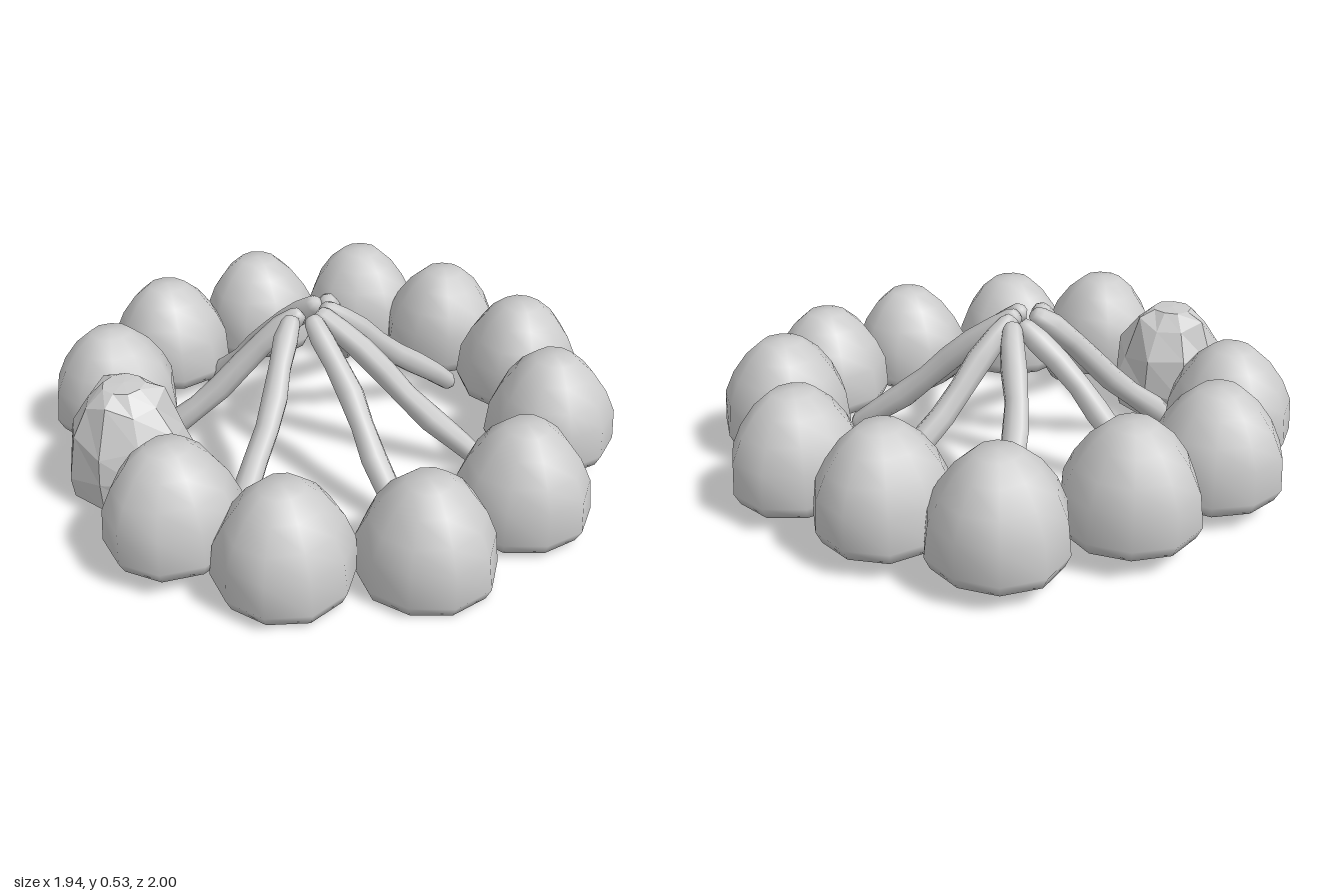
import * as THREE from 'three';
import { mergeVertices } from 'three/addons/utils/BufferGeometryUtils.js';

const ROCK_PROFILE = [[0, 0], [0.205, 0], [0.224, 0.04], [0.214, 0.15], [0.18, 0.225], [0.13, 0.295], [0.072, 0.345], [0, 0.352]];
const ROUGH_PROFILE = [[0, 0], [0.202, 0], [0.212, 0.09], [0.19, 0.21], [0.13, 0.325], [0.07, 0.37], [0, 0.375]];

// Lathe with welded seam so smooth normals run all the way round
function lathe(profile, sides, shift) {
  const raw = new THREE.LatheGeometry(profile.map(([r, y]) => new THREE.Vector2(r, y)), sides);
  raw.deleteAttribute('uv');
  raw.deleteAttribute('normal');
  const geo = mergeVertices(raw, 1e-4);
  const p = geo.attributes.position;
  const v = new THREE.Vector3();
  for (let i = 0; i < p.count; i++) {
    shift(v.fromBufferAttribute(p, i));
    p.setXYZ(i, v.x, v.y, v.z);
  }
  geo.computeVertexNormals();
  return geo;
}

// Domed stone, slightly uneven around its outline
function rockGeometry() {
  return lathe(ROCK_PROFILE, 10, v => {
    const k = 1 + 0.02 * Math.sin(3 * Math.atan2(v.x, v.z) + 8 * v.y);
    v.x *= k;
    v.z *= k;
    if (v.y > 0.2) v.y += 0.03 * v.x;
  });
}

// Rough stone with broad facets and a flat underside
function facetedRockGeometry() {
  return lathe(ROUGH_PROFILE, 9, v => {
    const a = Math.atan2(v.x, v.z);
    const k = 1 + 0.035 * Math.sin(4 * a + 23 * v.y);
    v.x *= k;
    v.z *= k;
    if (v.y > 0.01 && v.y < 0.35) v.y += 0.02 * Math.sin(3 * a + 31 * v.y);
  });
}

// Slightly crooked stick running from one point to another
function stick(from, to, bend, material) {
  const axis = new THREE.Vector3().subVectors(to, from);
  const len = axis.length();
  const profile = [[0, 0], [0.024, 0.004], [0.035, 0.025]];
  for (const t of [0.15, 0.3, 0.45, 0.6, 0.75, 0.88]) {
    profile.push([0.043 + 0.003 * Math.sin(t * 17 + bend), t * len]);
  }
  profile.push([0.035, len - 0.025], [0.024, len - 0.004], [0, len]);
  const geo = lathe(profile, 8, v => {
    const t = v.y / len;
    v.x += 0.012 * Math.sin(t * Math.PI * 2 + bend) * Math.sin(t * Math.PI);
    v.z += 0.01 * Math.cos(t * Math.PI * 1.5 + bend) * Math.sin(t * Math.PI);
  });
  const mesh = new THREE.Mesh(geo, material);
  mesh.position.copy(from);
  mesh.quaternion.setFromUnitVectors(new THREE.Vector3(0, 1, 0), axis.normalize());
  return mesh;
}

export function createModel() {
  const group = new THREE.Group();
  group.name = 'campfire';
  const smooth = new THREE.MeshStandardMaterial({ color: 0xcccccc });
  const faceted = new THREE.MeshStandardMaterial({ color: 0xcccccc, flatShading: true });

  // Ring of stones: x, base height, z
  const ring = new THREE.Group();
  ring.name = 'stoneRing';
  const rockGeo = rockGeometry();
  const rocks = [
    [-0.46, 0.06, -0.68], [-0.07, 0.07, -0.775], [0.355, 0.06, -0.73], [0.59, 0.06, -0.43],
    [0.74, 0.055, -0.07], [0.645, 0.06, 0.34], [0.38, 0.02, 0.64], [-0.015, 0, 0.773],
    [-0.435, 0.015, 0.67], [-0.71, 0.055, 0.41], [-0.73, 0.045, -0.4],
  ];
  rocks.forEach(([x, y, z], i) => {
    const rock = new THREE.Mesh(rockGeo, smooth);
    rock.name = 'stone' + (i + 1);
    rock.position.set(x, y, z);
    rock.rotation.y = Math.atan2(x, z);
    ring.add(rock);
  });
  const rough = new THREE.Mesh(facetedRockGeometry(), faceted);
  rough.name = 'facetedStone';
  rough.position.set(-0.76, 0.03, 0);
  ring.add(rough);
  group.add(ring);

  // Sticks leaning together: top x, z and foot x, z
  const sticks = new THREE.Group();
  sticks.name = 'firewood';
  const leaning = [
    [-0.04, -0.13, -0.34, -0.57], [-0.01, -0.13, 0.23, -0.58], [-0.04, -0.08, 0.53, -0.2],
    [-0.07, -0.06, 0.4, 0.33], [-0.1, -0.03, 0.01, 0.555], [-0.16, -0.05, -0.5, 0.38],
    [-0.12, -0.07, -0.65, -0.2],
  ];
  leaning.forEach(([tx, tz, fx, fz], i) => {
    const mesh = stick(new THREE.Vector3(fx, 0.03, fz), new THREE.Vector3(tx, 0.515, tz), i * 0.9, smooth);
    mesh.name = 'stick' + (i + 1);
    sticks.add(mesh);
  });
  group.add(sticks);
  return group;
}
